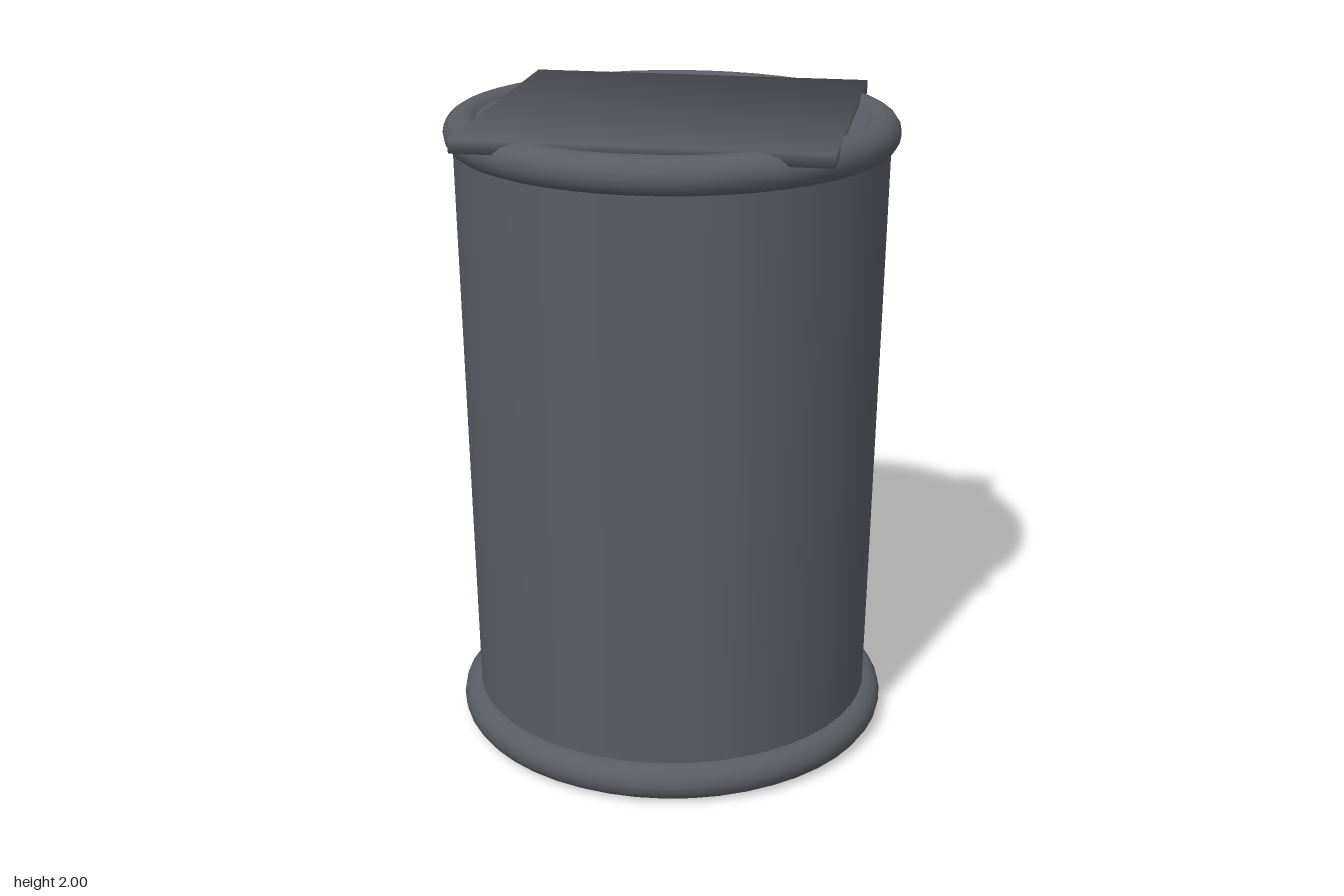
import * as THREE from 'three';

export function createModel() {
  const model = new THREE.Group();
  const metal = new THREE.MeshStandardMaterial({ color: 0x5a5d65 });
  metal.name = 'dark grey metal';

  const add = (name, geometry, y) => {
    const mesh = new THREE.Mesh(geometry, metal);
    mesh.name = name;
    mesh.position.y = y;
    model.add(mesh);
    return mesh;
  };

  // Slightly tapered drum, wider at the top
  add('body', new THREE.CylinderGeometry(0.663, 0.632, 1.96, 48), 1);

  // Rolled rims at both ends
  for (const [name, y] of [['bottomRim', 0.06], ['topRim', 1.94]]) {
    const rim = new THREE.TorusGeometry(0.632, 0.058, 16, 48);
    rim.rotateX(-Math.PI / 2);
    add(name, rim, y);
  }

  // Thin square lid, softly shaded: every corner normal points out diagonally
  const lid = new THREE.BoxGeometry(1.088, 0.04, 1.088);
  const { position, normal } = lid.attributes;
  const n = new THREE.Vector3();
  for (let i = 0; i < position.count; i++) {
    n.fromBufferAttribute(position, i);
    n.set(Math.sign(n.x), Math.sign(n.y), Math.sign(n.z)).normalize();
    normal.setXYZ(i, n.x, n.y, n.z);
  }
  add('lid', lid, 1.98);

  return model;
}
